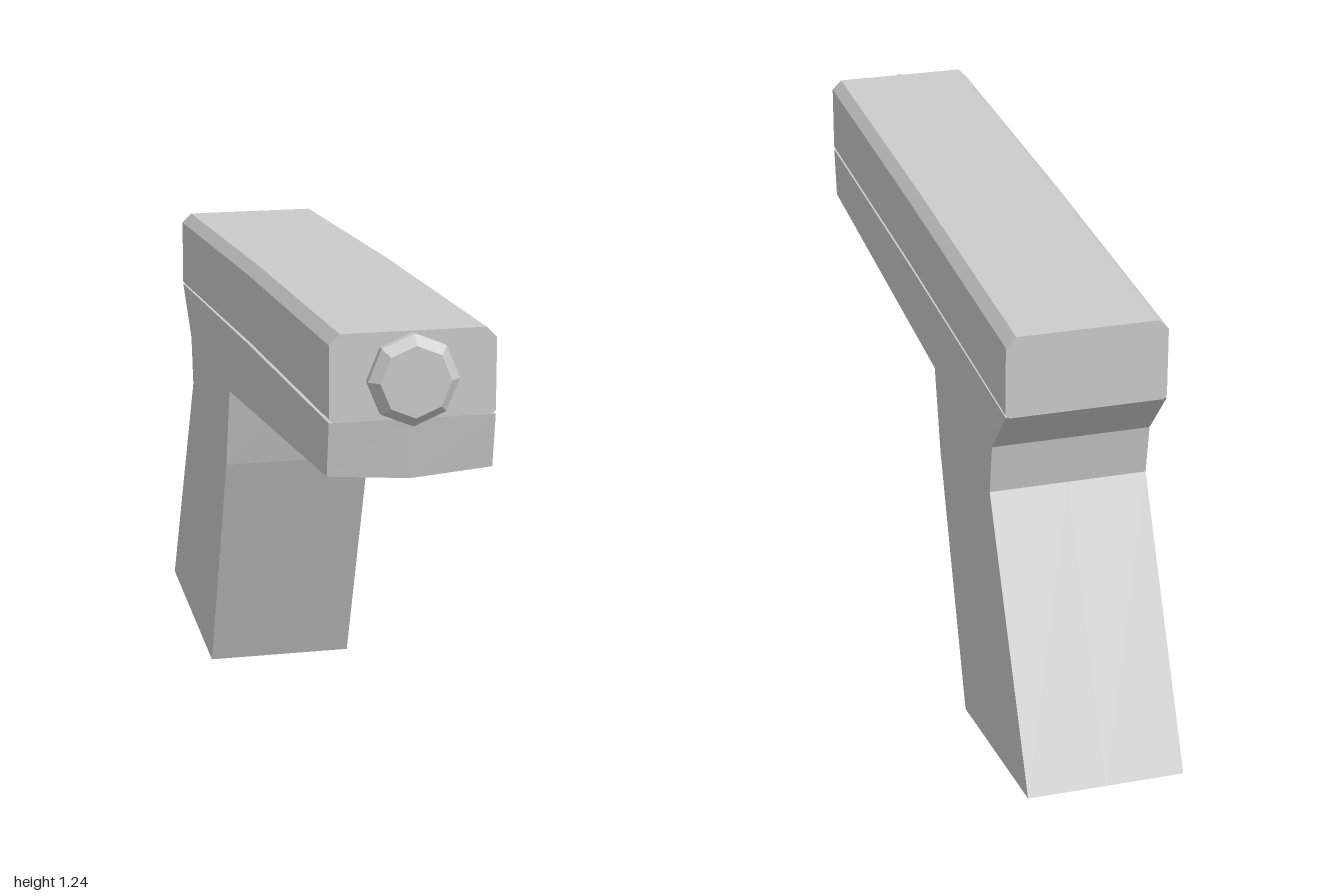
import * as THREE from 'three';

const HALF = 0.197; // half width of the body

function makeMesh(name, geometry) {
  const material = new THREE.MeshStandardMaterial({ color: 0xcccccc, flatShading: true });
  const mesh = new THREE.Mesh(geometry, material);
  mesh.name = name;
  return mesh;
}

// Extrudes an outline in two steps, starting at the given depth
function extrude(points, start, depth) {
  const shape = new THREE.Shape(points.map(([x, y]) => new THREE.Vector2(x, y)));
  return new THREE.ExtrudeGeometry(shape, { depth, steps: 2, bevelEnabled: false })
    .translate(0, 0, start);
}

// Moves each vertex vertically by a rule
function shiftY(geometry, rule) {
  const p = geometry.attributes.position;
  for (let i = 0; i < p.count; i++) {
    p.setY(i, p.getY(i) + rule(p.getX(i), p.getY(i), p.getZ(i)));
  }
  geometry.computeVertexNormals();
  return geometry;
}

// Chamfered upper block, dropping slightly towards the back
function createSlide() {
  const right = [[HALF - 0.009, 1.035], [HALF, 1.044], [HALF, 1.215], [HALF - 0.025, 1.24]];
  const left = right.map(([x, y]) => [-x, y]).reverse();
  const geometry = extrude([...right, ...left], -0.8, 1.76);
  shiftY(geometry, (x, y, z) => (z > 0.5 ? 0 : z > -0.5 ? -0.006 : -0.026));
  return makeMesh('slide', geometry);
}

// Side profile (z, y) of the lower body and slanted grip
function createFrame() {
  const profile = [
    [0.96, 1.035], [0.08, 1.029], [-0.8, 1.012], [-0.685, 0.88], [-0.665, 0.75],
    [-1, 0.09], [-0.435, 0], [-0.205, 0.632], [-0.155, 0.848], [0.94, 0.905],
  ];
  const geometry = extrude(profile, -HALF, 2 * HALF).rotateY(-Math.PI / 2);
  // Lower the centre line of the underside into a shallow keel
  shiftY(geometry, (x, y, z) =>
    (Math.abs(x) < 0.01 && z > -0.17 && y < 0.95 ? -0.016 : 0));
  return makeMesh('frameAndGrip', geometry);
}

// Eight-sided front cap with a bevelled rim
function createMuzzle() {
  const profile = [[0.108, 0.94], [0.108, 0.978], [0.084, 1], [0, 1]]
    .map(([r, h]) => new THREE.Vector2(r, h));
  const geometry = new THREE.LatheGeometry(profile, 8).rotateX(Math.PI / 2);
  geometry.translate(-0.003, 1.129, 0);
  return makeMesh('muzzle', geometry);
}

export function createModel() {
  const group = new THREE.Group();
  group.name = 'pistolProp';
  group.add(createSlide(), createFrame(), createMuzzle());
  return group;
}
